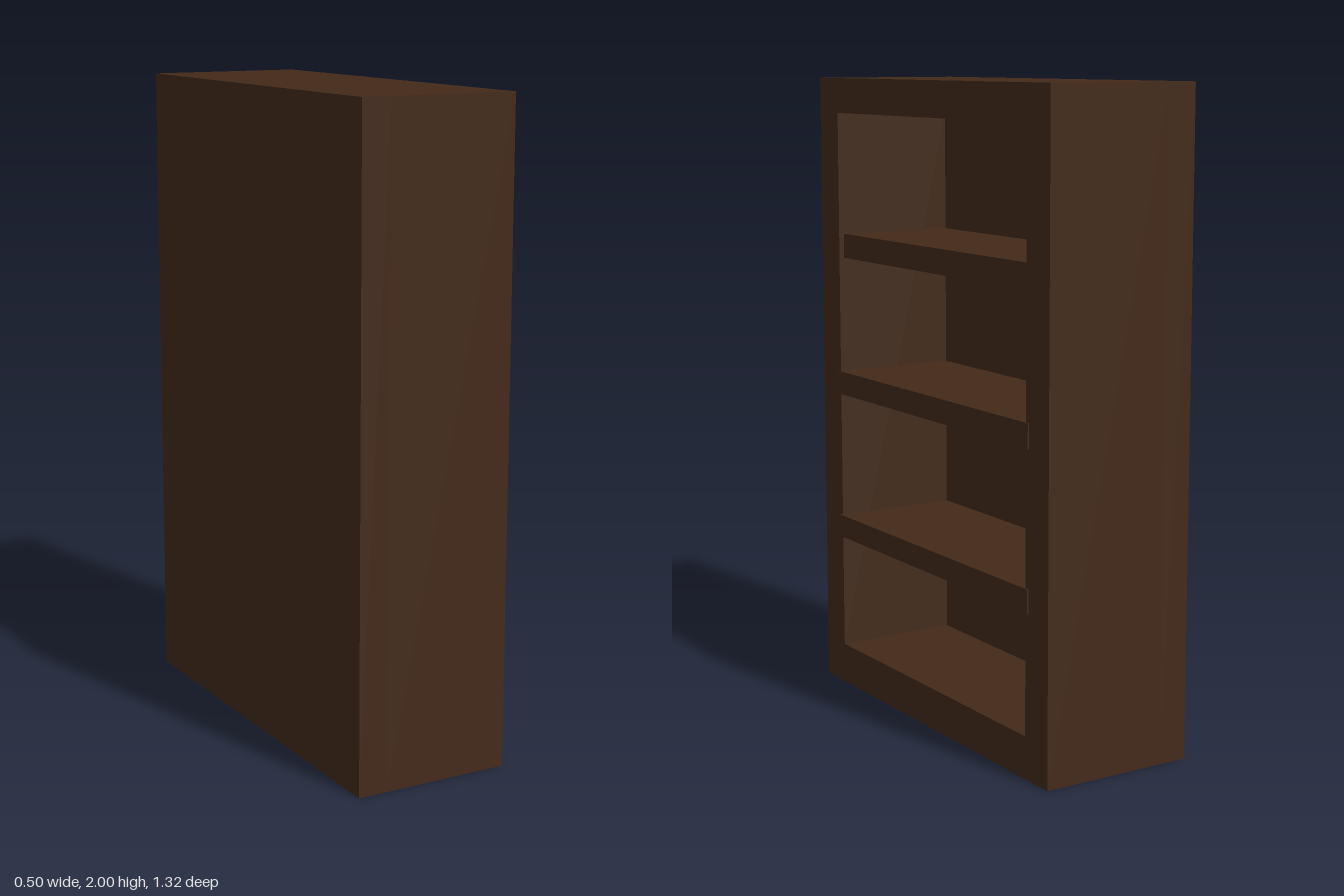
import * as THREE from 'three';

// Bookcase, open towards +x.
const BACK = -0.25, INNER = -0.157, FRONT = 0.245;
const HALF_W = 0.66, HEIGHT = 2;
const OPEN_HALF_W = 0.545, OPEN_BOTTOM = 0.13, OPEN_TOP = 1.89;

export function createModel() {
  const group = new THREE.Group();
  group.name = 'bookcase';
  const wood = new THREE.MeshStandardMaterial({ color: 0x432a1a });

  const add = (name, geometry) => {
    const mesh = new THREE.Mesh(geometry, wood);
    mesh.name = name;
    group.add(mesh);
    return mesh;
  };
  // Box given by its x range, y range and half width in z
  const addBox = (name, x0, x1, y0, y1, halfZ) =>
    add(name, new THREE.BoxGeometry(x1 - x0, y1 - y0, halfZ * 2))
      .position.set((x0 + x1) / 2, (y0 + y1) / 2, 0);

  const rectangle = (path, halfW, y0, y1) =>
    path.moveTo(-halfW, y0).lineTo(halfW, y0).lineTo(halfW, y1).lineTo(-halfW, y1).closePath();

  // Frame: sides, top and base in one piece around the opening
  const outline = rectangle(new THREE.Shape(), HALF_W, 0, HEIGHT);
  outline.holes.push(rectangle(new THREE.Path(), OPEN_HALF_W, OPEN_BOTTOM, OPEN_TOP));
  const frame = new THREE.ExtrudeGeometry(outline, { depth: FRONT - INNER, bevelEnabled: false });
  frame.rotateY(Math.PI / 2).translate(INNER, 0, 0);
  add('frame', frame);

  // Solid back
  addBox('backPanel', BACK, INNER, 0, HEIGHT, HALF_W);

  // Shelves let into the sides: the lower two stand slightly proud, the top one is set back
  const shelves = [
    { name: 'lowerShelf', y0: 0.5, y1: 0.573, front: 0.25 },
    { name: 'middleShelf', y0: 0.98, y1: 1.055, front: 0.249 },
    { name: 'upperShelf', y0: 1.425, y1: 1.503, front: 0.228 },
  ];
  for (const s of shelves) addBox(s.name, INNER - 0.02, s.front, s.y0, s.y1, 0.56);

  return group;
}
